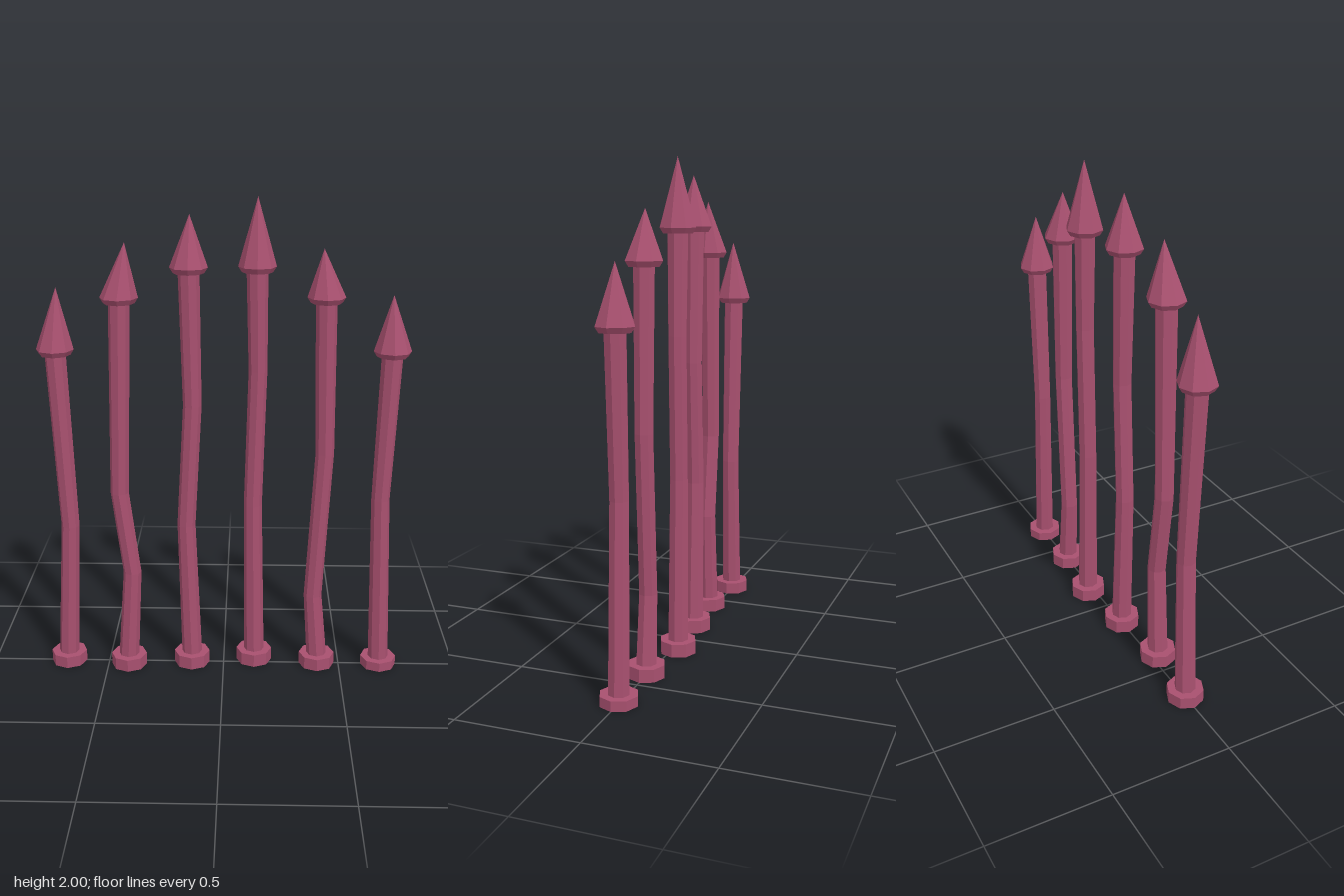
import * as THREE from 'three';

const SIDES = 8;
const material = new THREE.MeshStandardMaterial({ color: 0xa8506f, flatShading: true });

// Joins octagonal rings [x, y, radius] from first to last; radius 0 makes a point.
function loft(name, rings) {
  const points = [];
  const corner = ([x, y, r], j) => {
    const a = (j / SIDES) * Math.PI * 2;
    return [x + r * Math.cos(a), y, r * Math.sin(a)];
  };
  for (let i = 0; i < rings.length - 1; i++) {
    const low = rings[i], high = rings[i + 1];
    for (let j = 0; j < SIDES; j++) {
      const a = corner(low, j), b = corner(high, j);
      const c = corner(high, j + 1), d = corner(low, j + 1);
      if (high[2] > 0) points.push(...a, ...b, ...c);
      if (low[2] > 0) points.push(...a, ...c, ...d);
    }
  }
  const geometry = new THREE.BufferGeometry();
  geometry.setAttribute('position', new THREE.Float32BufferAttribute(points, 3));
  geometry.computeVertexNormals();
  const mesh = new THREE.Mesh(geometry, material);
  mesh.name = name;
  return mesh;
}

// x, z: foot centre; foot: collar height; bends: [x, y] kinks of the shaft;
// neck: height of the head's widest ring; tip: [x, y] of the point
const SPIKES = [
  { x: -0.675, z: 0, foot: 0.05, bends: [[-0.645, 0.64]], neck: 1.4, tip: [-0.661, 1.65] },
  { x: -0.41, z: 0.025, foot: 0.053, bends: [[-0.386, 0.44], [-0.43, 0.8]], neck: 1.615, tip: [-0.383, 1.83] },
  { x: -0.137, z: 0, foot: 0.055, bends: [[-0.156, 0.65], [-0.127, 1.17]], neck: 1.73, tip: [-0.132, 1.935] },
  { x: 0.132, z: -0.03, foot: 0.055, bends: [[0.122, 0.73], [0.138, 1.31]], neck: 1.73, tip: [0.132, 2.0] },
  { x: 0.404, z: 0, foot: 0.053, bends: [[0.381, 0.33], [0.415, 0.97]], neck: 1.615, tip: [0.39, 1.805] },
  { x: 0.672, z: 0, foot: 0.04, bends: [[0.651, 0.77]], neck: 1.4, tip: [0.667, 1.625] },
];

function createSpike({ x, z, foot, bends, neck, tip }) {
  const spike = new THREE.Group();
  spike.name = 'fenceSpike';
  spike.position.z = z;

  // collar with a recess underneath
  spike.add(loft('footCollar', [
    [x, foot * 0.6, 0], [x, foot * 0.6, 0.045], [x, 0, 0.052],
    [x, 0, 0.076], [x, foot, 0.076], [x, foot, 0.03],
  ]));

  // bent bar
  spike.add(loft('shaft', [
    [x, foot * 0.8, 0.043],
    ...bends.map(([bx, by]) => [bx, by, 0.038]),
    [x, neck - 0.01, 0.043],
  ]));

  // arrow-shaped head with a bevelled underside
  spike.add(loft('spearHead', [
    [x, neck - 0.022, 0.035], [x, neck - 0.022, 0.062],
    [x, neck, 0.076], [tip[0], tip[1], 0],
  ]));
  return spike;
}

export function createModel() {
  const model = new THREE.Group();
  model.name = 'spikeRow';
  SPIKES.forEach((s) => model.add(createSpike(s)));
  return model;
}
